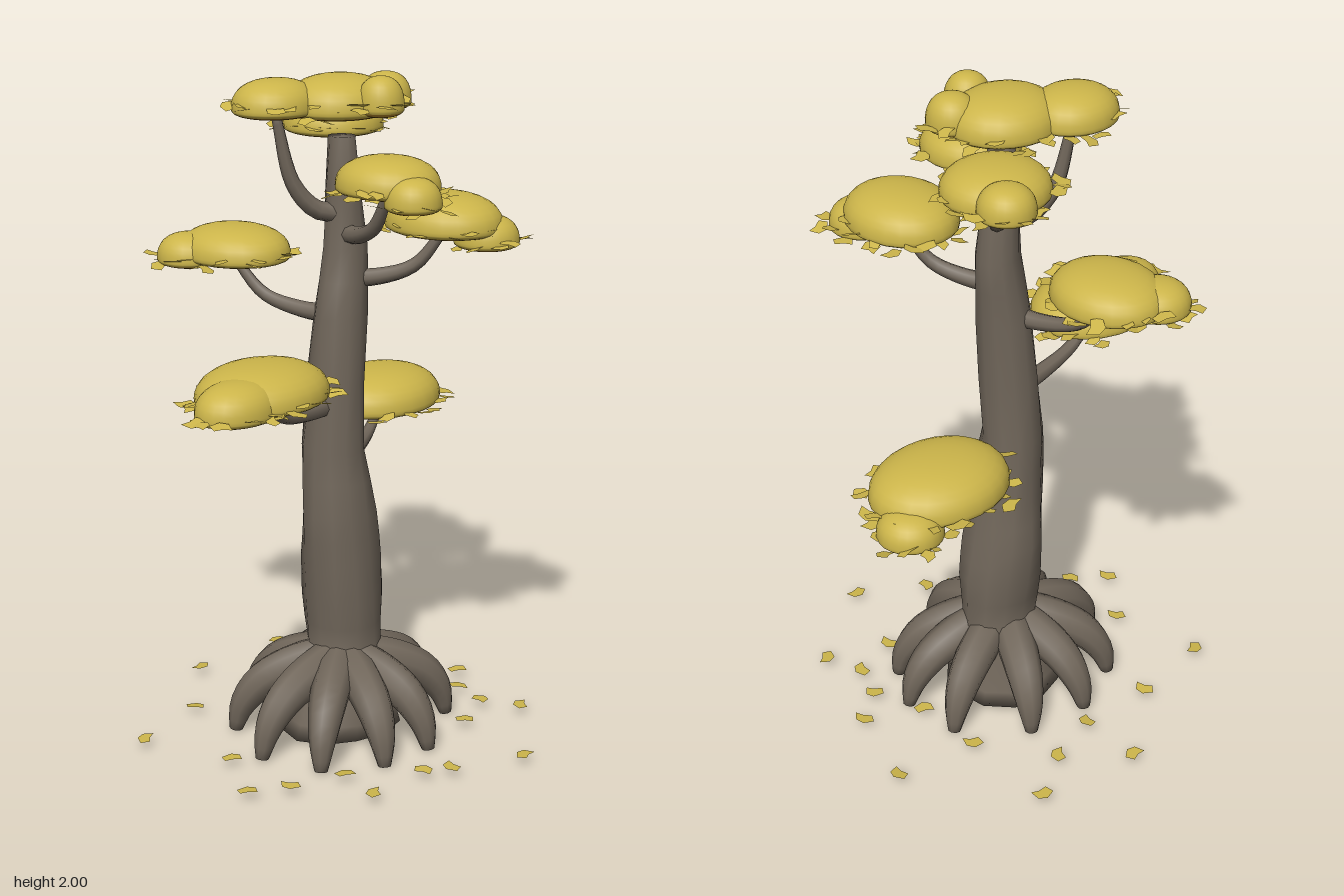
import * as THREE from 'three';
import { mergeGeometries, mergeVertices } from 'three/addons/utils/BufferGeometryUtils.js';

const bark = new THREE.MeshStandardMaterial({ color: 0x70665a });
bark.name = 'bark';
const gold = new THREE.MeshStandardMaterial({ color: 0xccb54a, side: THREE.DoubleSide });
gold.name = 'golden foliage';
const amber = new THREE.MeshStandardMaterial({ color: 0xb88a2c });
amber.name = 'amber underside';

// Small seeded generator, value between a and b
let seed = 7;
function rand(a, b) {
  seed = (seed * 16807) % 2147483647;
  return a + (b - a) * (seed / 2147483647);
}

function mesh(name, geometry, material) {
  const m = new THREE.Mesh(geometry, material);
  m.name = name;
  return m;
}

// Weld seams so the normals are smooth all round
function smooth(geometry) {
  geometry.deleteAttribute('uv');
  geometry.deleteAttribute('normal');
  const g = mergeVertices(geometry, 1e-5);
  g.computeVertexNormals();
  return g;
}

// Tube along points with a radius rule; the far end is capped
function taperedTube(points, radius, sides = 9, segs = 14) {
  const path = new THREE.CatmullRomCurve3(points);
  const geo = new THREE.TubeGeometry(path, segs, 1, sides);
  const pos = geo.attributes.position;
  const v = new THREE.Vector3();
  for (let i = 0; i <= segs; i++) {
    const from = path.getPointAt(i / segs);
    const t = Math.min(1, i / (segs - 1));
    const to = path.getPointAt(t);
    const r = i === segs ? 0 : radius(t);
    for (let j = 0; j <= sides; j++) {
      const k = i * (sides + 1) + j;
      v.fromBufferAttribute(pos, k).sub(from).multiplyScalar(r).add(to);
      pos.setXYZ(k, v.x, v.y, v.z);
    }
  }
  return smooth(geo);
}

// Trunk sections: y, centre x, centre z, half width x, half width z
const SECTIONS = [
  [0.01, 0.035, -0.015, 0.195, 0.175],
  [0.1, 0.035, -0.012, 0.165, 0.155],
  [0.27, 0.055, -0.005, 0.12, 0.108],
  [0.42, 0.052, -0.012, 0.128, 0.12],
  [0.55, 0.042, -0.015, 0.122, 0.122],
  [0.7, 0.027, -0.012, 0.112, 0.11],
  [0.9, 0.015, -0.022, 0.088, 0.095],
  [1.3, 0.035, -0.012, 0.082, 0.078],
  [1.5, 0.063, -0.015, 0.067, 0.062],
  [1.82, 0.042, -0.01, 0.038, 0.04],
];

function trunkGeometry() {
  const n = SECTIONS.length - 1;
  const geo = new THREE.CylinderGeometry(1, 1, 1, 12, n * 2);
  const pos = geo.attributes.position;
  for (let i = 0; i < pos.count; i++) {
    const f = (pos.getY(i) + 0.5) * n;
    const a = Math.min(n - 1, Math.floor(f));
    const [y, cx, cz, rx, rz] = SECTIONS[a].map((s, k) => THREE.MathUtils.lerp(s, SECTIONS[a + 1][k], f - a));
    const x = pos.getX(i), z = pos.getZ(i);
    const lump = 1 + 0.05 * Math.sin(3 * Math.atan2(x, z) + y * 9);
    pos.setXYZ(i, cx + x * rx * lump, y, cz + z * rz * lump);
  }
  return smooth(geo);
}

// Band of a flattened, full-sided dome with a shallow underside
const CUT = Math.PI * 0.64;
function lobeBand([x, y, z, rx, rz = rx, h = 0.1], from, to) {
  const geo = new THREE.SphereGeometry(1, 24, 12, 0, Math.PI * 2, from, to - from);
  const pos = geo.attributes.position;
  const v = new THREE.Vector3();
  for (let i = 0; i < pos.count; i++) {
    v.fromBufferAttribute(pos, i);
    v.multiplyScalar((Math.hypot(v.x, v.z) ** 2.4 + Math.abs(v.y) ** 2.4) ** (-1 / 2.4));
    const level = h * (0.24 + v.y * (v.y > 0 ? 0.76 : 0.24));
    pos.setXYZ(i, x + v.x * rx, y + level, z + v.z * rz);
  }
  return smooth(geo);
}

// One angular leaf, lying nearly flat
function leafGeometry(x, y, z, size, tilt) {
  const shape = new THREE.Shape();
  shape.moveTo(-0.5, 0.05).lineTo(-0.3, -0.36).lineTo(0.1, -0.24);
  shape.lineTo(0.5, -0.3).lineTo(0.36, 0.2).lineTo(-0.05, 0.34);
  const geo = new THREE.ShapeGeometry(shape);
  geo.rotateX(-Math.PI / 2);
  geo.scale(size, 1, size);
  geo.rotateY(rand(0, Math.PI * 2));
  geo.rotateX(rand(-tilt, tilt));
  geo.rotateZ(rand(-tilt, tilt));
  geo.translate(x, y, z);
  return geo;
}

// Ring of leaves hugging the rim of a lobe
function rimLeaves([x, y, z, rx, rz = rx]) {
  const leaves = [];
  const count = Math.round((rx + rz) * 60);
  for (let i = 0; i < count; i++) {
    const a = ((i + rand(-0.4, 0.4)) / count) * Math.PI * 2;
    const k = rand(-0.01, 0.028);
    leaves.push(leafGeometry(x + Math.cos(a) * (rx + k), y + rand(0.008, 0.045),
      z + Math.sin(a) * (rz + k), rand(0.052, 0.07), 0.3));
  }
  return leaves;
}

// Branch leaving the trunk level, then curving up into the first lobe, with its foliage
function limb(name, startX, startY, ...lobes) {
  const group = new THREE.Group();
  group.name = name;
  const [x, y, z] = lobes[0];
  const start = new THREE.Vector3(startX, startY, -0.015);
  const rise = y + 0.01 - startY;
  const points = [[0, 0], [0.35, 0.04], [0.72, 0.3], [1, 1]].map(([out, up]) =>
    start.clone().lerp(new THREE.Vector3(x, startY, z), out).setY(startY + rise * up));
  group.add(mesh('branch', taperedTube(points, (t) => 0.03 - 0.016 * t, 8), bark));
  group.add(mesh('foliageDome', mergeGeometries(lobes.map((l) => lobeBand(l, 0, CUT))), gold));
  group.add(mesh('foliageUnderside', mergeGeometries(lobes.map((l) => lobeBand(l, CUT, Math.PI))), amber));
  group.add(mesh('rimLeaves', mergeGeometries(lobes.flatMap(rimLeaves)), gold));
  return group;
}

export function createModel() {
  const tree = new THREE.Group();
  tree.name = 'tree';
  tree.add(mesh('trunk', trunkGeometry(), bark));

  // Arching roots around the foot, thick at the knee and thin at the tip
  const roots = new THREE.Group();
  roots.name = 'roots';
  const arch = [[0.05, 0.235], [0.16, 0.205], [0.255, 0.155], [0.312, 0.08], [0.33, 0.005]];
  const rootRadius = (t) => 0.02 + 0.042 * Math.cos(Math.PI * 0.5 * t ** 1.6);
  for (let i = 0; i < 10; i++) {
    const a = ((9 + i * 36) * Math.PI) / 180 + rand(-0.1, 0.1);
    const points = arch.map(([r, y]) =>
      new THREE.Vector3(0.026 + Math.sin(a) * r * 1.04, y, 0.005 + Math.cos(a) * r * 0.95));
    roots.add(mesh('root', taperedTube(points, rootRadius), bark));
  }
  tree.add(roots);

  // Limbs from low to high; lobes are x, base y, z, radius x, radius z, height
  tree.add(limb('lowLeftLimb', 0.04, 0.835, [0.395, 0.905, -0.14, 0.215, 0.175, 0.135], [0.56, 0.872, -0.21, 0.095]));
  tree.add(limb('lowRightLimb', 0, 1.035, [-0.37, 1.125, 0.035, 0.21, 0.172, 0.125], [-0.51, 1.12, 0.07, 0.14, 0.105, 0.115]));
  tree.add(limb('midBackLimb', 0.02, 1.3, [-0.06, 1.425, -0.33, 0.15, 0.175, 0.115], [-0.145, 1.415, -0.435, 0.095]));
  tree.add(limb('midFrontLimb', 0.05, 1.405, [0.2, 1.54, 0.235, 0.153, 0.18, 0.125], [0.25, 1.505, 0.35, 0.095]));
  tree.add(limb('highFrontLimb', 0.05, 1.54, [-0.045, 1.685, 0.22, 0.138, 0.153, 0.115], [-0.09, 1.66, 0.34, 0.08]));
  tree.add(limb('highBackLimb', 0.06, 1.64, [0.215, 1.785, -0.18, 0.153, 0.148, 0.11], [0.285, 1.795, -0.3, 0.08]));
  tree.add(limb('crownLimb', 0.03, 1.6, [-0.12, 1.88, -0.12, 0.133, 0.118, 0.11], [0.04, 1.87, -0.02, 0.163, 0.148, 0.125],
    [0.16, 1.885, 0.055, 0.072, 0.075, 0.11], [0.045, 1.885, 0.125, 0.067, 0.067, 0.115]));

  // Leaves fallen on the ground: a few outliers, then a hidden scatter by the golden angle
  const spots = [[0.03, -0.58], [0.35, -0.53], [-0.47, -0.36], [-0.32, 0.39], [0.15, 0.59],
    [0.43, 0.39], [-0.05, 0.47], [0.53, 0.08], [0.39, 0.27], [0.61, -0.18], [-0.53, 0.1]];
  for (let i = 0; i < 11; i++) {
    const r = 0.36 + 0.012 * i;
    spots.push([Math.cos(i * 2.4) * r, Math.sin(i * 2.4) * r]);
  }
  const fallen = spots.map(([x, z]) => leafGeometry(x, 0.03, z, 0.062, 0.1));
  tree.add(mesh('fallenLeaves', mergeGeometries(fallen), gold));
  return tree;
}
